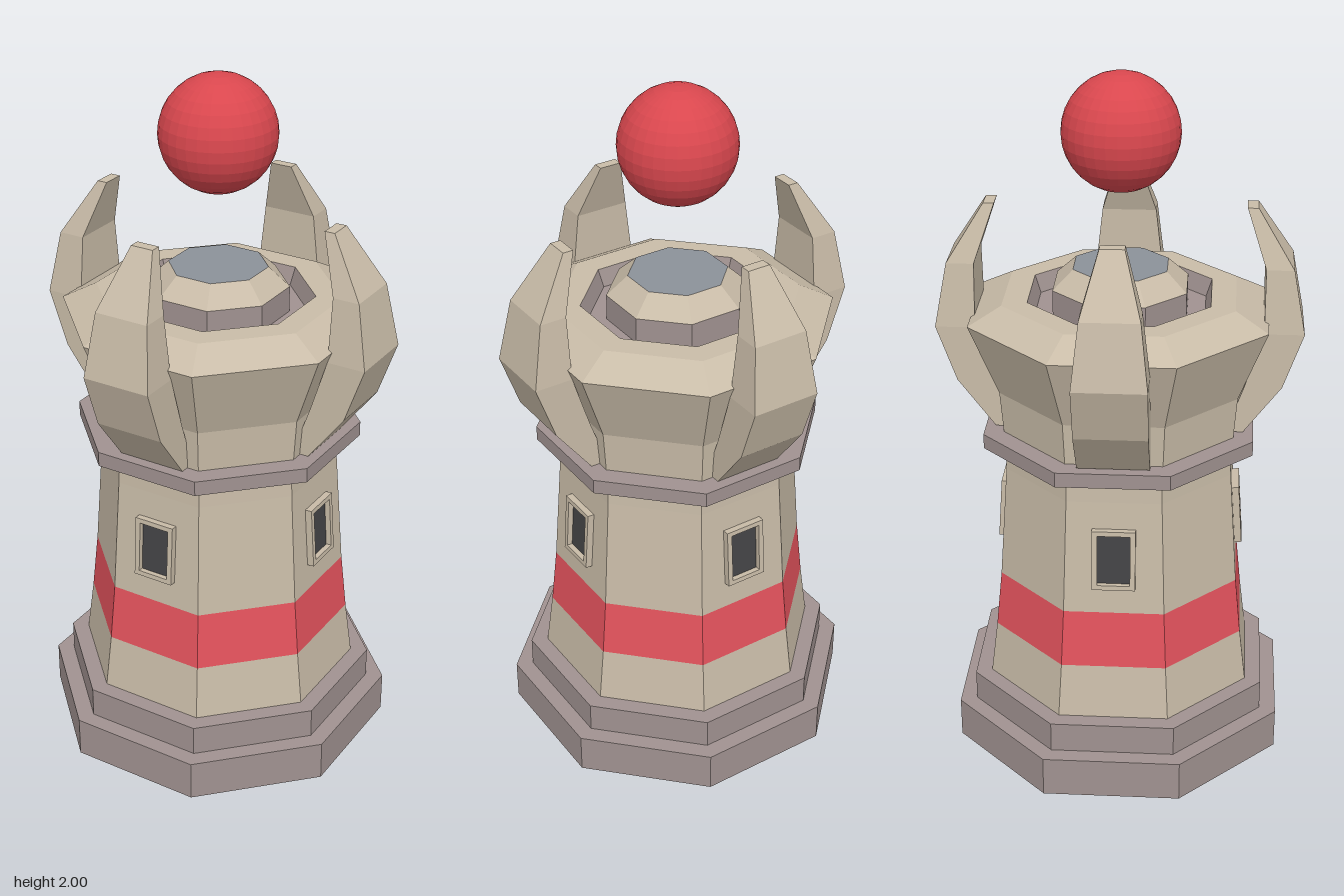
import * as THREE from 'three';

const material = (color) => new THREE.MeshStandardMaterial({ color, flatShading: true });
const stone = material(0xc9bca8);
const trim = material(0xa09290);
const red = material(0xe4535d);
const orbRed = material(0xd9474e);
const dark = material(0x444446);
const capGrey = material(0x8b9199);

// Eight-sided ring from a [radius, y] profile running upwards on the outside
function octagon(name, profile, mat) {
  const points = profile.map(([r, y]) => new THREE.Vector2(r, y));
  const mesh = new THREE.Mesh(new THREE.LatheGeometry(points, 8), mat);
  mesh.name = name;
  return mesh;
}

// Curved claw built from rectangular sections [y, inner radius, outer radius, half width]
function clawGeometry() {
  const sections = [
    [1.0, 0.3, 0.35, 0.1],
    [1.14, 0.35, 0.455, 0.1],
    [1.3, 0.4, 0.511, 0.1],
    [1.48, 0.4, 0.477, 0.08],
    [1.64, 0.345, 0.375, 0.033],
  ];
  const positions = [];
  const index = [];
  for (const [y, inner, outer, w] of sections) {
    positions.push(-w, y, outer, w, y, outer, w, y, inner, -w, y, inner);
  }
  for (let i = 0; i < sections.length - 1; i++) {
    for (let j = 0; j < 4; j++) {
      const a = i * 4 + j;
      const b = i * 4 + ((j + 1) % 4);
      index.push(a, b, b + 4, a, b + 4, a + 4);
    }
  }
  const t = (sections.length - 1) * 4;
  index.push(t, t + 1, t + 2, t, t + 2, t + 3);
  index.push(0, 2, 1, 0, 3, 2);
  const geometry = new THREE.BufferGeometry();
  geometry.setAttribute('position', new THREE.Float32BufferAttribute(positions, 3));
  geometry.setIndex(index);
  geometry.computeVertexNormals();
  return geometry;
}

function rectangle(PathType, w, h) {
  const path = new PathType();
  path.moveTo(-w / 2, -h / 2);
  path.lineTo(w / 2, -h / 2);
  path.lineTo(w / 2, h / 2);
  path.lineTo(-w / 2, h / 2);
  path.closePath();
  return path;
}

// Framed window leaning with the wall
function createWindow() {
  const group = new THREE.Group();
  group.name = 'window';
  const shape = rectangle(THREE.Shape, 0.122, 0.18);
  shape.holes.push(rectangle(THREE.Path, 0.092, 0.152));
  const frame = new THREE.Mesh(
    new THREE.ExtrudeGeometry(shape, { depth: 0.04, bevelEnabled: false }), stone);
  frame.name = 'windowFrame';
  frame.position.z = -0.02;
  const pane = new THREE.Mesh(new THREE.BoxGeometry(0.094, 0.154, 0.02), dark);
  pane.name = 'windowPane';
  pane.position.z = -0.006;
  group.add(frame, pane);
  group.position.set(0, 0.71, 0.331);
  group.rotation.x = -0.068;
  return group;
}

export function createModel() {
  const model = new THREE.Group();
  model.name = 'tower';

  // Stepped foundation
  model.add(octagon('lowerStep', [[0, 0], [0.511, 0], [0.511, 0.12], [0.45, 0.12]], trim));
  model.add(octagon('upperStep', [[0.46, 0.12], [0.46, 0.21], [0.39, 0.21]], trim));

  // Tapered shaft with a painted band
  model.add(octagon('lowerShaft', [[0.41, 0.21], [0.389, 0.37]], stone));
  model.add(octagon('paintedBand', [[0.389, 0.37], [0.371, 0.54]], red));
  model.add(octagon('upperShaft', [[0.371, 0.54], [0.346, 0.88], [0.343, 0.95]], stone));

  // Ledge and flared crown
  model.add(octagon('ledge', [[0.33, 0.955], [0.41, 0.955], [0.41, 0.998], [0.33, 0.998]], trim));
  model.add(octagon('crown',
    [[0.35, 0.998], [0.36, 1.12], [0.445, 1.33], [0.347, 1.38], [0.273, 1.38]], stone));

  // Sunken roof with a low pedestal
  model.add(octagon('roofWell', [[0.273, 1.38], [0.255, 1.33], [0.19, 1.33]], trim));
  model.add(octagon('pedestalBase', [[0.2, 1.33], [0.2, 1.405]], trim));
  model.add(octagon('pedestalSlope', [[0.2, 1.405], [0.14, 1.46]], stone));
  model.add(octagon('pedestalCap', [[0.14, 1.46], [0, 1.46]], capGrey));

  // Four claws, each above a window
  const clawShape = clawGeometry();
  for (let i = 0; i < 4; i++) {
    const side = new THREE.Group();
    side.name = 'clawAndWindow';
    const claw = new THREE.Mesh(clawShape, stone);
    claw.name = 'claw';
    side.add(claw, createWindow());
    side.rotation.y = -Math.PI / 8 + (i * Math.PI) / 2;
    model.add(side);
  }

  // Floating orb
  const orb = new THREE.Mesh(new THREE.SphereGeometry(0.163, 32, 16), orbRed);
  orb.name = 'orb';
  orb.position.y = 1.837;
  model.add(orb);

  return model;
}
